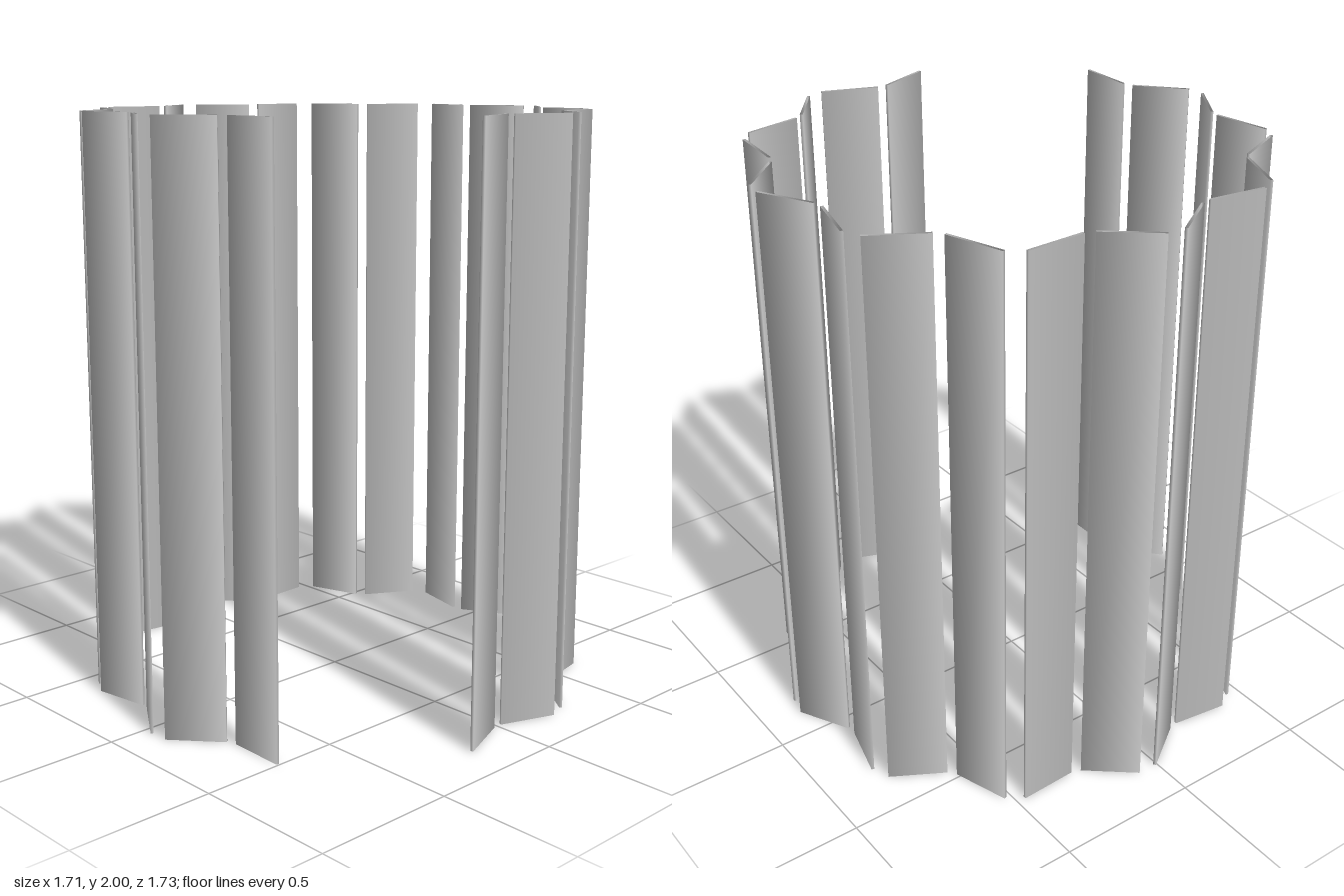
import * as THREE from 'three';

const COUNT = 20, RADIUS = 0.81, WIDTH = 0.203, THICKNESS = 0.01, HEIGHT = 2;
const START = 62, STEP = 16.1, TILT = 29; // degrees

// Thin four-sided sleeve, open at both ends, with soft normals at its corners
function slatGeometry() {
  const geo = new THREE.CylinderGeometry(1, 1, HEIGHT, 4, 1, true, Math.PI / 4);
  const pos = geo.attributes.position;
  for (let i = 0; i < pos.count; i++) {
    pos.setX(i, Math.sign(pos.getX(i)) * WIDTH / 2);
    pos.setZ(i, Math.sign(pos.getZ(i)) * THICKNESS / 2);
  }
  return geo;
}

export function createModel() {
  const group = new THREE.Group();
  group.name = 'slatScreen';
  const geo = slatGeometry();
  const mat = new THREE.MeshStandardMaterial({ color: 0xcccccc, side: THREE.DoubleSide });

  // Ring of upright slats, tilted alternately in and out, with an opening
  for (let i = 0; i < COUNT; i++) {
    const deg = START + STEP * i;
    const angle = THREE.MathUtils.degToRad(deg);
    const heading = deg + 90 + (i % 2 ? -TILT : TILT);
    const slat = new THREE.Mesh(geo, mat);
    slat.name = `slat${i + 1}`;
    slat.position.set(0.012 + RADIUS * Math.cos(angle), HEIGHT / 2, RADIUS * Math.sin(angle));
    slat.rotation.y = -THREE.MathUtils.degToRad(heading);
    group.add(slat);
  }
  return group;
}
